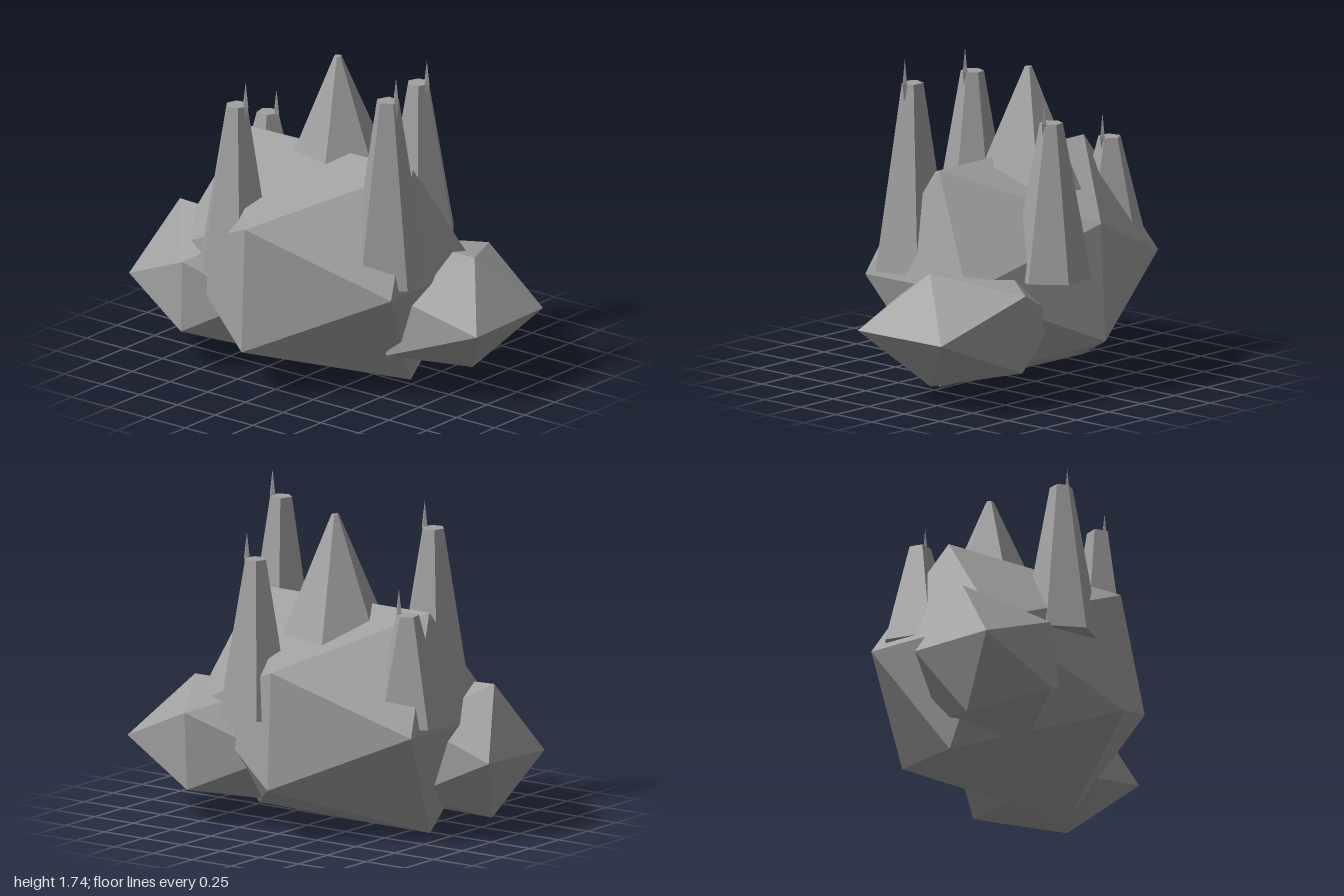
import * as THREE from 'three';
import { ConvexGeometry } from 'three/addons/geometries/ConvexGeometry.js';

const stone = new THREE.MeshStandardMaterial({ color: 0xa0a0a0, flatShading: true });
stone.name = 'stone grey';

function addMesh(parent, name, geometry) {
  const mesh = new THREE.Mesh(geometry, stone);
  mesh.name = name;
  parent.add(mesh);
  return mesh;
}

// Twelve-cornered boulder
function boulder(parent, name, corners) {
  return addMesh(parent, name, new ConvexGeometry(corners.map((c) => new THREE.Vector3(...c))));
}

// Tapered column; angle is the direction of one corner, measured from +x towards +z
function column(parent, name, x, z, bottom, top, rTop, rBottom, sides, angle) {
  const mesh = addMesh(parent, name, new THREE.CylinderGeometry(rTop, rBottom, top - bottom, sides));
  mesh.position.set(x, (top + bottom) / 2, z);
  mesh.rotation.y = THREE.MathUtils.degToRad(90 - angle);
  return mesh;
}

export function createModel() {
  const model = new THREE.Group();
  model.name = 'spiredRock';

  boulder(model, 'mainRock', [
    [-0.62, 1.17, -0.025], [0.49, 1.17, -0.025], [-0.62, 0, -0.02], [0.48, 0.015, -0.02],
    [-0.065, 0.912, 0.675], [-0.065, 0.245, 0.7], [-0.065, 0.89, -0.655], [-0.065, 0.27, -0.685],
    [0.645, 0.587, 0.35], [0.635, 0.59, -0.355], [-0.78, 0.59, 0.36], [-0.78, 0.59, -0.4],
  ]);

  boulder(model, 'leftSideRock', [
    [0.755, 0.695, -0.205], [0.23, 0.695, -0.205], [0.745, 0.093, -0.2], [0.23, 0.093, -0.2],
    [0.48, 0.537, 0.163], [0.48, 0.203, 0.176], [0.5, 0.6, -0.643], [0.5, 0.187, -0.62],
    [0.996, 0.39, 0.08], [0.98, 0.39, -0.49], [0.05, 0.39, 0.07], [0.05, 0.39, -0.45],
  ]);

  boulder(model, 'rightSideRock', [
    [-0.857, 0.78, 0.22], [-0.3, 0.76, 0.22], [-0.835, 0.065, 0.23], [-0.3, 0.075, 0.23],
    [-0.563, 0.593, 0.57], [-0.563, 0.214, 0.58], [-0.563, 0.6, -0.1], [-0.563, 0.21, -0.12],
    [-0.98, 0.41, 0.005], [-1, 0.405, 0.463], [-0.2, 0.413, 0.42], [-0.2, 0.413, 0.03],
  ]);

  // Central peak
  column(model, 'centralPeak', -0.087, -0.125, 0.9, 1.64, 0.02, 0.336, 6, 7);

  // Flat-topped towers, each with a thin splinter at its rim
  const towers = [
    ['frontTower', -0.29, 0.455, 1.49, 6, 108],
    ['leftTower', 0.48, 0.172, 1.605, 5, 22],
    ['backTower', 0.147, -0.5, 1.44, 6, -8],
    ['rightTower', -0.617, -0.21, 1.19, 5, -85],
  ];
  for (const [name, x, z, top, sides, angle] of towers) {
    const tower = new THREE.Group();
    tower.name = name;
    column(tower, 'shaft', x, z, 0.62, top, 0.06, 0.21, sides, angle);
    const splinter = addMesh(tower, 'splinter', new THREE.OctahedronGeometry(1).scale(0.018, 0.135, 0.015));
    splinter.position.set(x + 0.056, top, z);
    model.add(tower);
  }

  return model;
}
